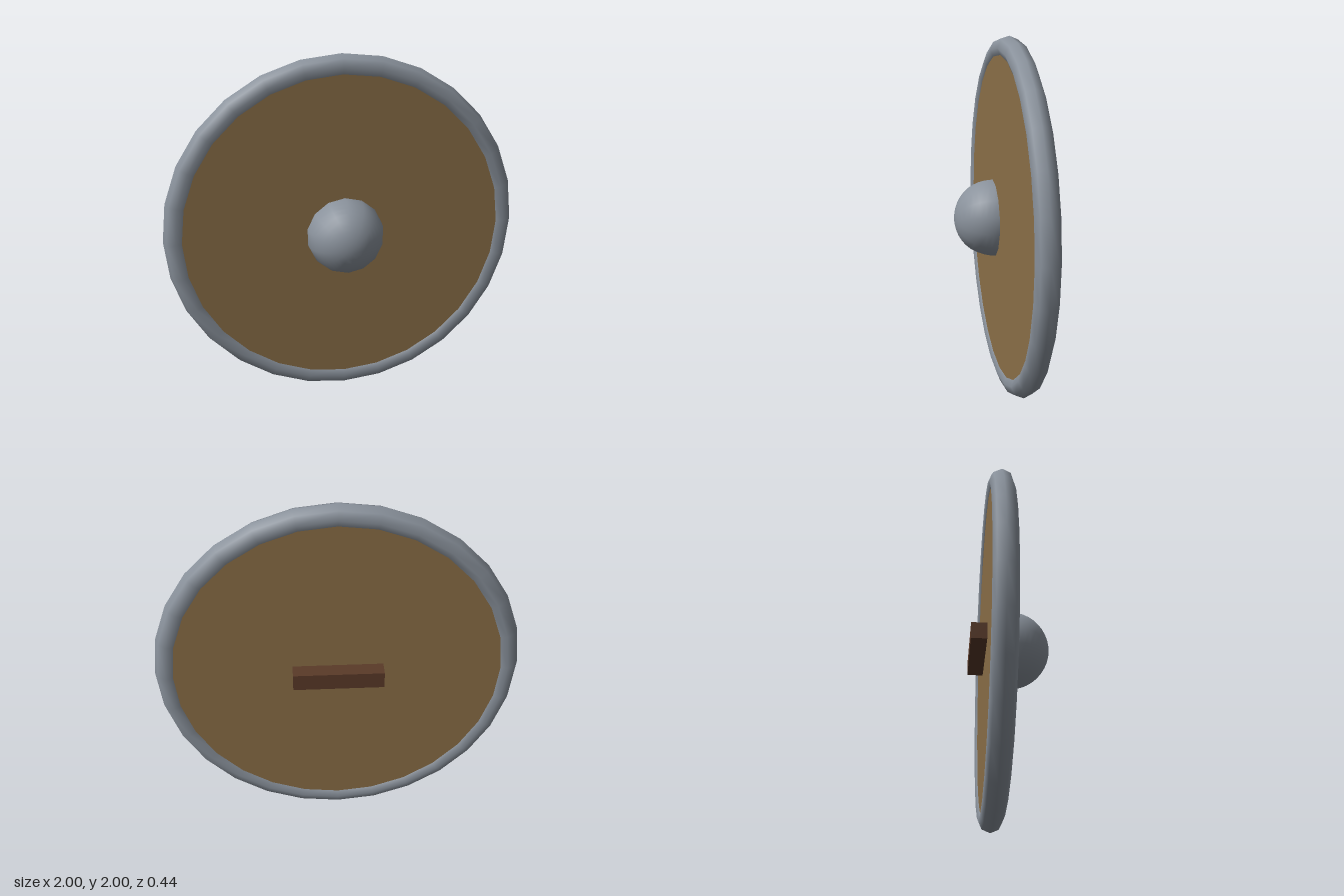
import * as THREE from 'three';

const SIDES = 28;
const MID_Z = -0.084; // centre plane of the board and rim

export function createModel() {
  const shield = new THREE.Group();
  shield.name = 'roundShield';

  const wood = new THREE.MeshStandardMaterial({ color: 0x8b6f47 });
  const darkWood = new THREE.MeshStandardMaterial({ color: 0x5a3a28 });
  const metal = new THREE.MeshStandardMaterial({ color: 0x8a929c });
  const openMetal = new THREE.MeshStandardMaterial({ color: 0x8a929c, side: THREE.DoubleSide });

  function add(name, geometry, material, y, z) {
    const mesh = new THREE.Mesh(geometry, material);
    mesh.name = name;
    mesh.position.set(0, y, z);
    shield.add(mesh);
  }

  // Wooden disc, its edge buried in the rim
  const board = new THREE.CylinderGeometry(0.93, 0.93, 0.1, SIDES).rotateX(Math.PI / 2);
  add('board', board, wood, 1, MID_Z);

  // Metal rim with an eight-sided section
  add('rim', new THREE.TorusGeometry(0.935, 0.065, 8, SIDES), metal, 1, MID_Z);

  // Domed boss, standing just clear of the board; a vertex points straight up
  const dome = new THREE.SphereGeometry(0.216, 14, 10, Math.PI / 2, Math.PI * 2, 0, Math.PI / 2);
  dome.rotateX(Math.PI / 2);
  add('boss', dome, openMetal, 1.003, 0.006);

  // Grip bar across the back
  add('grip', new THREE.BoxGeometry(0.495, 0.094, 0.094), darkWood, 1.003, -0.175);

  return shield;
}
